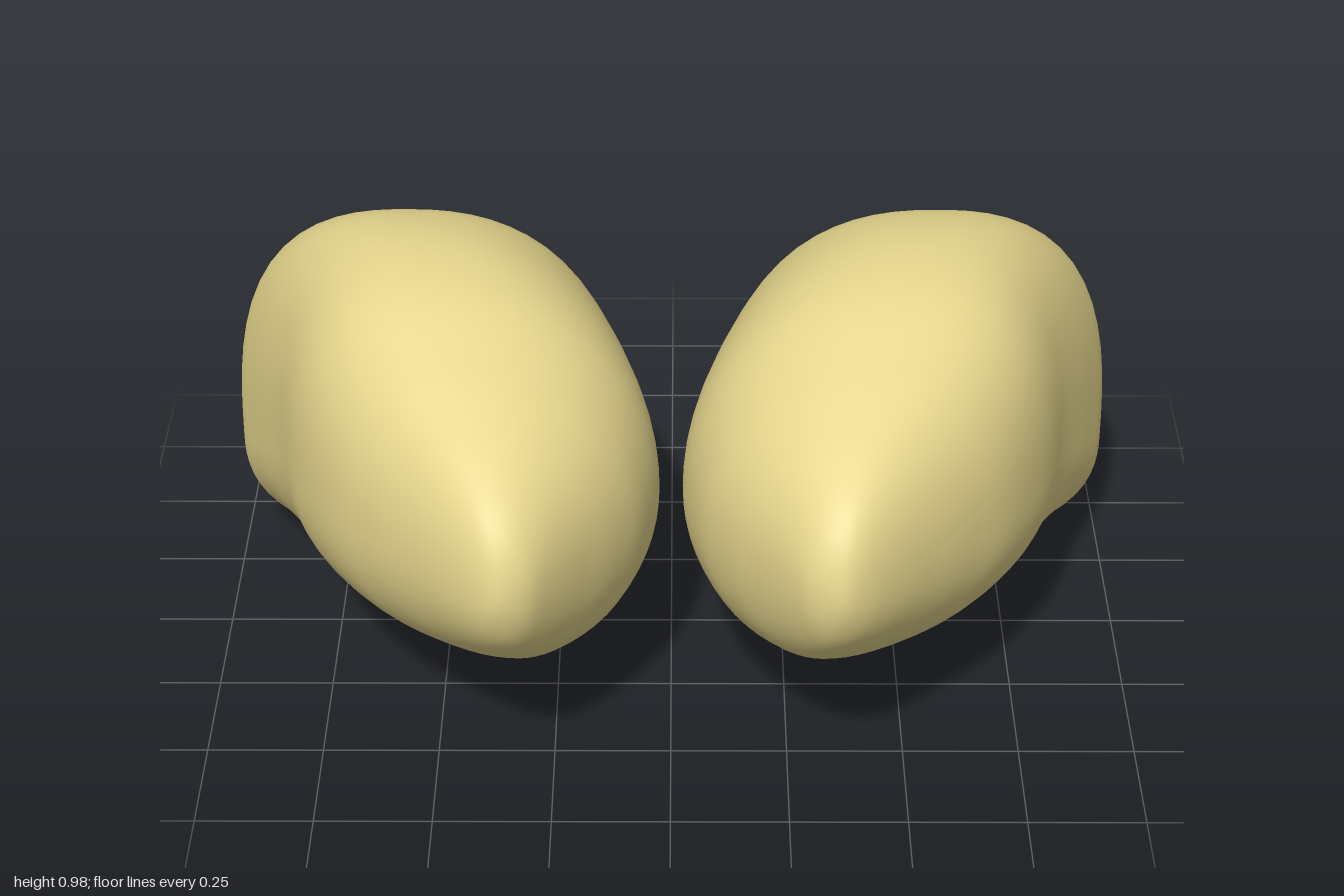
import * as THREE from 'three';
import { mergeVertices } from 'three/addons/utils/BufferGeometryUtils.js';

// Cross-sections from back to front tip:
// z, inner x, outer x, bottom y, top y, x of top, x of bottom, y of inner side, y of outer side
const SECTIONS = [
  [-0.762, 0.68, 0.68, 0.27, 0.27, 0.68, 0.68, 0.27, 0.27],
  [-0.742, 0.56, 0.8, 0.155, 0.395, 0.68, 0.69, 0.27, 0.26],
  [-0.69, 0.445, 0.895, 0.065, 0.52, 0.67, 0.72, 0.29, 0.25],
  [-0.6, 0.335, 0.955, 0.008, 0.655, 0.65, 0.76, 0.34, 0.25],
  [-0.48, 0.24, 0.99, 0.006, 0.775, 0.63, 0.75, 0.38, 0.26],
  [-0.35, 0.17, 0.993, 0.03, 0.868, 0.6, 0.66, 0.42, 0.28],
  [-0.2, 0.115, 0.945, 0.055, 0.945, 0.56, 0.5, 0.45, 0.35],
  [0, 0.06, 0.87, 0.075, 0.985, 0.51, 0.42, 0.48, 0.44],
  [0.2, 0.025, 0.81, 0.125, 0.972, 0.47, 0.37, 0.49, 0.49],
  [0.38, 0.055, 0.722, 0.19, 0.903, 0.43, 0.33, 0.52, 0.52],
  [0.5, 0.11, 0.63, 0.25, 0.845, 0.4, 0.32, 0.54, 0.54],
  [0.6, 0.175, 0.54, 0.315, 0.79, 0.38, 0.32, 0.55, 0.55],
  [0.69, 0.238, 0.455, 0.395, 0.725, 0.36, 0.33, 0.56, 0.55],
  [0.742, 0.285, 0.395, 0.47, 0.65, 0.35, 0.34, 0.56, 0.55],
  [0.762, 0.345, 0.345, 0.555, 0.555, 0.345, 0.345, 0.555, 0.555],
];
// column that each value swaps with when the outline passes through an end pole
const OPPOSITE = [0, 2, 1, 4, 3, 6, 5, 8, 7];
const STEPS = 6, RADIAL = 64;

// Smooth interpolation of one column, mirrored beyond the poles so the ends stay round
function sample(t, k) {
  const n = SECTIONS.length - 1, i = Math.min(Math.floor(t), n - 1), f = t - i;
  const p = (j) => (j < 0 ? SECTIONS[-j][OPPOSITE[k]] : j > n ? SECTIONS[2 * n - j][OPPOSITE[k]] : SECTIONS[j][k]);
  const a = p(i - 1), b = p(i), c = p(i + 1), d = p(i + 2);
  return b + 0.5 * f * (c - a + f * (2 * a - 5 * b + 4 * c - d + f * (3 * (b - c) + d - a)));
}

// Each section is four superellipse quarters joining its extreme points
function beanGeometry(side) {
  const pos = [], index = [], rows = (SECTIONS.length - 1) * STEPS;
  const { smoothstep } = THREE.MathUtils;
  for (let i = 0; i <= rows; i++) {
    const [z, x0, x1, y0, y1, xt, xb, yl, yr] = OPPOSITE.map((_, k) => sample(i / STEPS, k));
    // roundness: the body is boxier than its ends, most of all on the upper outer side
    const body = smoothstep(z, -0.75, -0.45) * (1 - smoothstep(z, 0.2, 0.7));
    const rear = smoothstep(z, -0.75, -0.55) * (1 - smoothstep(z, -0.4, 0));
    for (let j = 0; j < RADIAL; j++) {
      const a = (j / RADIAL) * Math.PI * 2, c = Math.cos(a), s = Math.sin(a);
      const outer = c >= 0, upper = s >= 0;
      const e = outer ? 2.05 + (upper ? 0.7 * body : 0.15 * body + 0.3 * rear) : 2.1 + 0.3 * rear;
      const r = Math.pow(Math.pow(Math.abs(c), e) + Math.pow(Math.abs(s), e), -1 / e);
      const u = c * r, v = s * r;
      const xm = upper ? xt : xb, ym = outer ? yr : yl;
      const x = xm + u * (outer ? x1 - xm : xm - x0);
      const y = ym + v * (upper ? y1 - ym : ym - y0);
      pos.push(side * x, y, z);
      if (i < rows) {
        const n = (j + 1) % RADIAL, A = i * RADIAL + j, B = i * RADIAL + n;
        const C = A + RADIAL, D = B + RADIAL;
        const tris = [[A, B, C], [B, D, C]];
        for (const [p, q, w] of tris) index.push(...(side > 0 ? [p, q, w] : [p, w, q]));
      }
    }
  }
  let g = new THREE.BufferGeometry();
  g.setAttribute('position', new THREE.Float32BufferAttribute(pos, 3));
  g.setIndex(index);
  g = mergeVertices(g, 1e-5); // weld the end poles for smooth normals
  g.computeVertexNormals();
  return g;
}

export function createModel() {
  const group = new THREE.Group();
  group.name = 'beanPair';
  const straw = new THREE.MeshStandardMaterial({ color: 0xe6d68d });
  straw.name = 'straw yellow';
  for (const [side, name] of [[1, 'leftBean'], [-1, 'rightBean']]) {
    const mesh = new THREE.Mesh(beanGeometry(side), straw);
    mesh.name = name;
    group.add(mesh);
  }
  return group;
}
